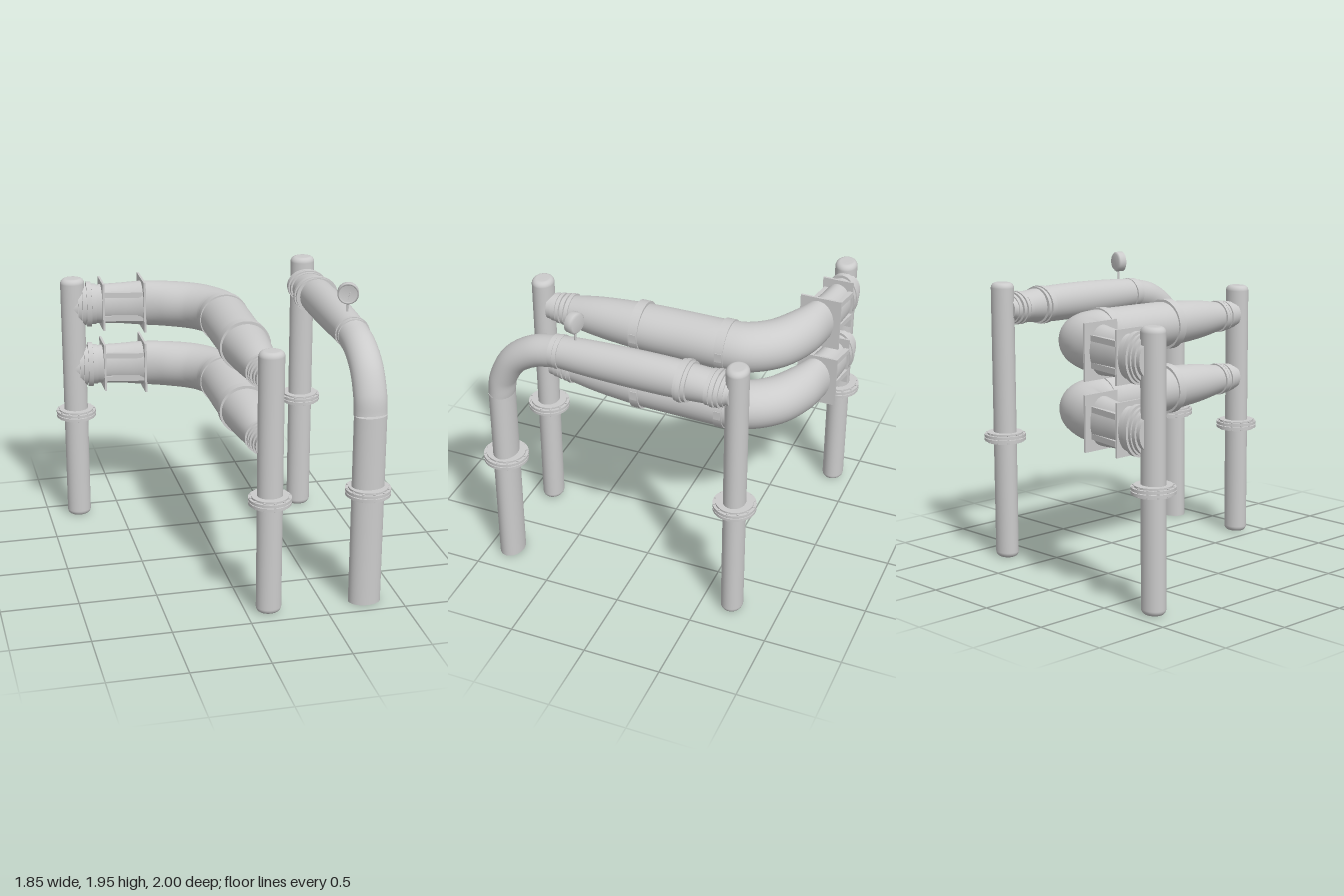
import * as THREE from 'three';

const grey = new THREE.MeshStandardMaterial({ color: 0xcccccc });
const V = (x, y, z) => new THREE.Vector3(x, y, z);

function add(parent, name, geometry, x = 0, y = 0, z = 0) {
  const mesh = new THREE.Mesh(geometry, grey);
  mesh.name = name;
  mesh.position.set(x, y, z);
  parent.add(mesh);
  return mesh;
}

// Elliptical pipe along a planar path; rows are [x, y, z, halfAcross, halfAlongAxis]
function sweep(rows, axis, steps = 60, sides = 36) {
  const path = new THREE.CatmullRomCurve3(rows.map(r => V(r[0], r[1], r[2])), false, 'catmullrom');
  const size = new THREE.CatmullRomCurve3(rows.map(r => V(r[3], r[4], 0)), false, 'catmullrom');
  const pos = [], index = [];
  for (let i = 0; i <= steps; i++) {
    const p = path.getPoint(i / steps), s = size.getPoint(i / steps);
    const across = axis.clone().cross(path.getTangent(i / steps)).normalize();
    for (let j = 0; j < sides; j++) {
      const a = (j / sides) * Math.PI * 2;
      const v = p.clone().addScaledVector(across, s.x * Math.cos(a)).addScaledVector(axis, s.y * Math.sin(a));
      pos.push(v.x, v.y, v.z);
      if (i < steps) {
        const k = i * sides + j, n = i * sides + (j + 1) % sides;
        index.push(k, n, k + sides, n, n + sides, k + sides);
      }
    }
  }
  const g = new THREE.BufferGeometry();
  g.setAttribute('position', new THREE.Float32BufferAttribute(pos, 3));
  g.setIndex(index);
  g.computeVertexNormals();
  return g;
}

// Flat elliptical collar, its axis horizontal and turned by angle from z
function collar(parent, name, x, y, z, w, h, length, angle = 0) {
  const g = new THREE.CylinderGeometry(1, 1, length, 40).rotateX(Math.PI / 2);
  const m = add(parent, name, g.scale(w, h, 1), x, y, z);
  m.rotation.y = angle;
  return m;
}

// Three-layer bolted flange around an upright
function flange(parent, x, y, z, r) {
  const group = new THREE.Group();
  group.name = 'flange';
  group.position.set(x, y, z);
  add(group, 'flangeCore', new THREE.CylinderGeometry(r - 0.018, r - 0.018, 0.066, 40));
  for (const s of [-1, 1]) {
    add(group, 'flangeDisc', new THREE.CylinderGeometry(r, r, 0.018, 40), 0, s * 0.012, 0);
  }
  for (let i = 0; i < 12; i++) {
    const a = (i / 12) * Math.PI * 2;
    add(group, 'flangeBolt', new THREE.CylinderGeometry(0.008, 0.008, 0.054, 6),
      Math.cos(a) * (r - 0.012), 0, Math.sin(a) * (r - 0.012));
  }
  parent.add(group);
}

// Upright with rounded ends
function post(parent, x, z, top, flangeY) {
  const r = 0.081, c = 0.035, pts = [new THREE.Vector2(0, 0)];
  for (const [cy, start] of [[c, -Math.PI / 2], [top - c, 0]]) {
    for (let i = 0; i <= 6; i++) {
      const a = start + (i / 6) * Math.PI / 2;
      pts.push(new THREE.Vector2(r - c + c * Math.cos(a), cy + c * Math.sin(a)));
    }
  }
  pts.push(new THREE.Vector2(0, top));
  add(parent, 'post', new THREE.LatheGeometry(pts, 40).scale(1, 1, 0.87), x, 0.005, z);
  flange(parent, x, flangeY, z, 0.135);
}

// Horizontal pipe that turns a corner between two posts
function bentPipe(y) {
  const g = new THREE.Group();
  g.name = 'bentPipe';
  g.position.y = y;
  add(g, 'bentPipeBody', sweep([
    [0.147, 0, 0.67, 0.1, 0.095], [0.148, 0, 0.45, 0.13, 0.128], [0.15, 0, 0.17, 0.155, 0.147],
    [0.15, 0, -0.1, 0.159, 0.153], [0.15, 0, -0.4, 0.162, 0.155], [0.12, 0, -0.545, 0.16, 0.155],
    [0.015, 0, -0.682, 0.152, 0.155], [-0.15, 0, -0.778, 0.135, 0.155], [-0.32, 0, -0.835, 0.105, 0.153],
    [-0.46, 0, -0.862, 0.094, 0.142], [-0.6, 0, -0.878, 0.09, 0.135], [-0.72, 0, -0.88, 0.085, 0.125],
  ], V(0, 1, 0), 100));

  // clamps on the straight run
  for (const z of [0.17, -0.4]) {
    collar(g, 'clamp', 0.149, 0, z, 0.166, 0.165, 0.06);
    add(g, 'clampLug', new THREE.BoxGeometry(0.012, 0.06, 0.045), 0.31, 0, z);
  }
  // stepped joint at the front post
  collar(g, 'frontNeck', 0.146, 0, 0.73, 0.082, 0.085, 0.16);
  for (const [z, w, h, l] of [[0.657, 0.115, 0.107, 0.025], [0.69, 0.106, 0.103, 0.02],
    [0.725, 0.102, 0.099, 0.02], [0.76, 0.092, 0.092, 0.03]]) {
    collar(g, 'frontJointRing', 0.146, 0, z, w, h, l);
  }
  // stepped joint at the back post
  for (const [x, w, h, l] of [[-0.645, 0.1, 0.14, 0.03], [-0.678, 0.107, 0.157, 0.032],
    [-0.712, 0.1, 0.145, 0.022], [-0.74, 0.095, 0.133, 0.028], [-0.772, 0.088, 0.11, 0.03]]) {
    collar(g, 'backJointRing', x, 0, -0.882, w, h, l, Math.PI / 2 - 0.08);
  }
  // support plates joined by bars
  add(g, 'supportPlate', new THREE.BoxGeometry(0.014, 0.33, 0.2), -0.59, 0, -0.876);
  add(g, 'supportPlate', new THREE.BoxGeometry(0.014, 0.35, 0.265), -0.32, 0, -0.848);
  for (const sy of [-1, 1]) {
    for (const sz of [-1, 1]) {
      const bar = add(g, 'supportBar', new THREE.BoxGeometry(0.275, 0.036, 0.03),
        -0.455, sy * 0.082, -0.86 + sz * 0.08);
      bar.rotation.y = -0.18;
    }
  }
  return g;
}

// Pipe rising from the ground and bending back to the third post
function archPipe() {
  const g = new THREE.Group();
  g.name = 'archPipe';
  const x = 0.773, y = 1.657;
  add(g, 'riser', new THREE.CylinderGeometry(1, 1, 1.265, 40).scale(0.104, 1, 0.078), x, 0.6375, 0.855);
  flange(g, x, 0.767, 0.857, 0.143);
  add(g, 'elbow', sweep([
    [x, 1.27, 0.855, 0.079, 0.105], [x, 1.39, 0.832, 0.084, 0.105], [x, 1.53, 0.748, 0.092, 0.104],
    [x, 1.62, 0.61, 0.098, 0.103], [x, y, 0.45, 0.1, 0.102],
  ], V(1, 0, 0), 40));
  add(g, 'archPipeBody', sweep([
    [x, y, 0.45, 0.1, 0.1], [x, y, 0.25, 0.112, 0.108], [x, y, 0, 0.12, 0.113], [x, y, -0.25, 0.12, 0.115],
    [x, y, -0.4, 0.112, 0.115], [x, y, -0.55, 0.098, 0.115], [x, y, -0.66, 0.085, 0.11],
  ], V(1, 0, 0)));
  for (const [z, w, h, l] of [[0.433, 0.112, 0.105, 0.025], [0.465, 0.106, 0.101, 0.03],
    [-0.355, 0.14, 0.123, 0.022], [-0.378, 0.15, 0.126, 0.026], [-0.404, 0.138, 0.12, 0.022],
    [-0.545, 0.128, 0.104, 0.025], [-0.578, 0.136, 0.109, 0.022], [-0.608, 0.13, 0.107, 0.022],
    [-0.635, 0.115, 0.099, 0.022], [-0.66, 0.1, 0.082, 0.03]]) {
    collar(g, 'archPipeRing', x, y, z, w, h, l);
  }

  // round dial on a thin stem
  const gauge = new THREE.Group();
  gauge.name = 'gauge';
  gauge.position.set(x, 1.885, 0.333);
  gauge.rotation.y = -0.27;
  add(gauge, 'gaugeStem', new THREE.CylinderGeometry(0.007, 0.007, 0.16, 10), 0, -0.09, 0);
  const h = 0.027, r = 0.067;
  const profile = [[0, -h], [r - 0.012, -h], [r, -h + 0.012], [r, h], [r - 0.01, h], [r - 0.01, h - 0.01], [0, h - 0.01]];
  add(gauge, 'gaugeCase', new THREE.LatheGeometry(profile.map(p => new THREE.Vector2(...p)), 32).rotateX(Math.PI / 2));
  const needle = add(gauge, 'gaugeNeedle', new THREE.BoxGeometry(0.004, 0.05, 0.006), 0.006, -0.018, h - 0.008);
  needle.rotation.z = -0.3;
  g.add(gauge);
  return g;
}

export function createModel() {
  const model = new THREE.Group();
  model.name = 'pipework';
  post(model, -0.788, -0.866, 1.728, 0.767);
  post(model, 0.145, 0.857, 1.728, 0.767);
  post(model, 0.77, -0.698, 1.828, 0.818);
  for (const y of [1.537, 1.105]) model.add(bentPipe(y));
  model.add(archPipe());
  return model;
}
